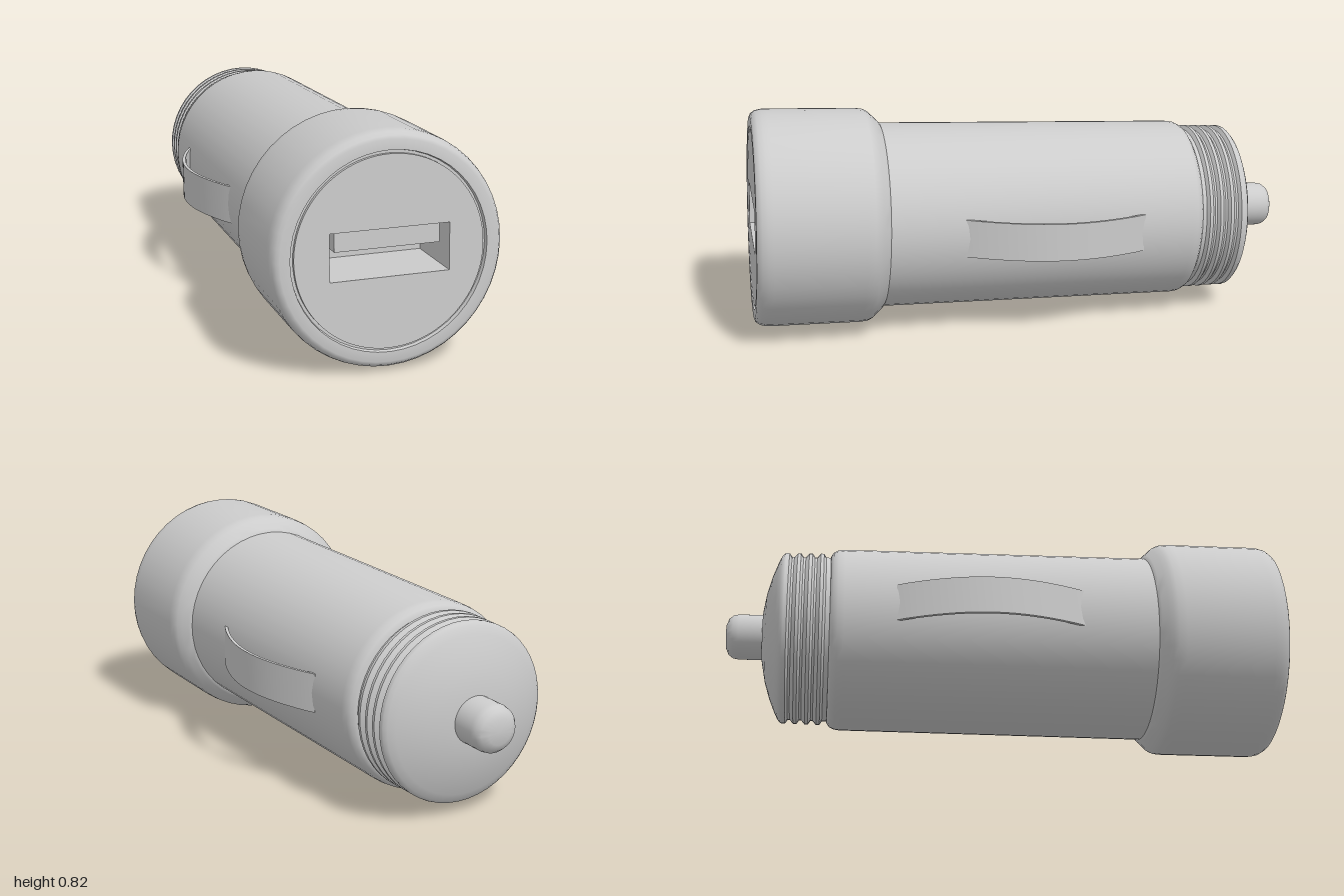
import * as THREE from 'three';
import { toCreasedNormals } from 'three/addons/utils/BufferGeometryUtils.js';

const grey = new THREE.MeshStandardMaterial({ color: 0xcccccc });
const inside = new THREE.MeshStandardMaterial({ color: 0xcccccc, side: THREE.BackSide });

// Local frame: the long axis is z, the front face lies at z = 0 and the rear at negative z.
function part(name, geometry, material = grey) {
  const mesh = new THREE.Mesh(geometry, material);
  mesh.name = name;
  return mesh;
}

// Turned part from [radius, distance behind the front] pairs, listed rear to front.
function turned(name, profile) {
  const points = profile.map(([r, t]) => new THREE.Vector2(r, -t));
  const geometry = new THREE.LatheGeometry(points, 48).rotateX(Math.PI / 2);
  return part(name, toCreasedNormals(geometry, 0.65));
}

// Bowed spring strip on one side of the barrel.
function springStrip(side) {
  const outer = [], inner = [];
  const steps = 20, start = 0.745, end = 1.435;
  for (let i = 0; i <= steps; i++) {
    const s = i / steps;
    const z = -(start + (end - start) * s);
    const bow = Math.pow(Math.sin(Math.PI * s), 0.9);
    const x = 0.335 + 0.09 * bow;
    outer.push(new THREE.Vector2(x, z));
    inner.push(new THREE.Vector2(x - 0.012, z));
  }
  const shape = new THREE.Shape([...outer, ...inner.reverse()].map(p => p.set(side * p.x, -p.y)));
  const geometry = new THREE.ExtrudeGeometry(shape, { depth: 0.14, bevelEnabled: false });
  geometry.translate(0, 0, -0.07).rotateX(-Math.PI / 2);
  return part(side > 0 ? 'leftSpringStrip' : 'rightSpringStrip', toCreasedNormals(geometry, 0.5));
}

export function createModel() {
  const model = new THREE.Group();
  model.name = 'carCharger';
  const body = new THREE.Group();
  body.name = 'chargerBody';
  model.add(body);

  // Rear contact pin with rounded end
  body.add(turned('contactPin', [
    [0, 2.048], [0.045, 2.046], [0.068, 2.036], [0.08, 2.02], [0.084, 2.0], [0.084, 1.88],
  ]));

  // Domed end cap with ridged thread
  const cap = [[0, 1.915], [0.1, 1.913], [0.17, 1.9], [0.23, 1.882], [0.28, 1.862], [0.305, 1.85], [0.316, 1.84]];
  const ridges = 4, pitch = 0.042;
  for (let i = 0; i < ridges; i++) {
    const t = 1.84 - i * pitch;
    const r = 0.318 + i * 0.001;
    cap.push([r, t - 0.006], [r, t - 0.018], [r - 0.014, t - 0.027], [r - 0.014, t - 0.035]);
  }
  cap.push([0.305, 1.64]);
  body.add(turned('threadedCap', cap));

  // Main barrel with a rounded rear shoulder
  body.add(turned('barrel', [
    [0.29, 1.672], [0.312, 1.67], [0.327, 1.66], [0.336, 1.643], [0.339, 1.62], [0.35, 0.42],
  ]));

  // Wide front collar with rounded shoulder, bevelled rim and shallow groove
  body.add(turned('collar', [
    [0.345, 0.482], [0.352, 0.48], [0.362, 0.472], [0.38, 0.452], [0.394, 0.438], [0.403, 0.42], [0.406, 0.39],
    [0.408, 0.06], [0.407, 0.04], [0.402, 0.02], [0.392, 0.005], [0.38, 0],
    [0.345, 0], [0.342, 0.015], [0.325, 0.015],
  ]));

  // Front plate with the socket opening
  const w = 0.42, h = 0.165, depth = 0.26;
  const plate = new THREE.Shape().absarc(0, 0, 0.332, 0, Math.PI * 2);
  const hole = new THREE.Path();
  hole.moveTo(-w / 2, -h / 2).lineTo(-w / 2, h / 2).lineTo(w / 2, h / 2).lineTo(w / 2, -h / 2).closePath();
  plate.holes.push(hole);
  const plateGeometry = new THREE.ExtrudeGeometry(plate, { depth: 0.02, bevelEnabled: false, curveSegments: 48 });
  const frontPlate = part('frontPlate', toCreasedNormals(plateGeometry.translate(0, 0, -0.022), 0.5));
  body.add(frontPlate);

  // Socket walls and the contact tongue in its upper half
  const socket = part('socket', new THREE.BoxGeometry(w, h, depth), inside);
  socket.position.z = -depth / 2 - 0.002;
  const tongue = part('socketTongue', new THREE.BoxGeometry(0.37, 0.065, depth - 0.03));
  tongue.position.set(0, 0.042, -depth / 2 - 0.015);
  body.add(socket, tongue);

  for (const side of [1, -1]) body.add(springStrip(side));

  // Lying turned about the vertical, with the front slightly raised
  body.rotation.set(-0.032, 0.548, 0, 'YXZ');
  body.position.set(0.445, 0.42, 0.784);
  return model;
}
